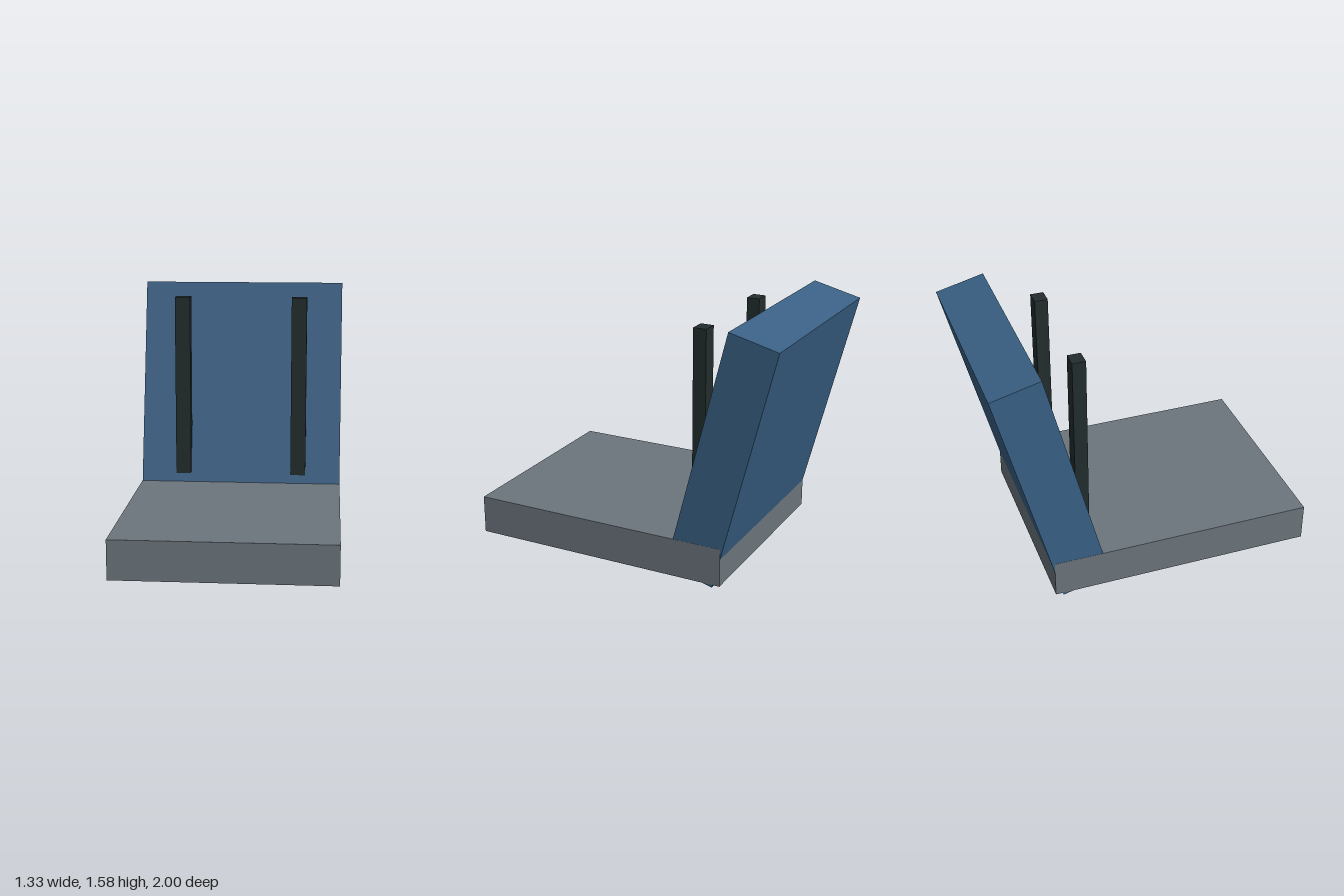
import * as THREE from 'three';

const material = (name, color) => {
  const m = new THREE.MeshStandardMaterial({ color });
  m.name = name;
  return m;
};

function box(name, size, position, mat) {
  const mesh = new THREE.Mesh(new THREE.BoxGeometry(...size), mat);
  mesh.name = name;
  mesh.position.set(...position);
  return mesh;
}

export function createModel() {
  const grey = material('seat grey', 0x6c757d);
  const blue = material('backrest blue', 0x3a6186);
  const black = material('strap black', 0x232d2d);

  const chair = new THREE.Group();
  chair.name = 'seat';

  // Flat cushion
  chair.add(box('cushion', [1.332, 0.242, 1.666], [0, 0.139, 0.167], grey));

  // Reclined backrest, a hair narrower so its sides stay inside the cushion
  const backrest = box('backrest', [1.33, 1.548, 0.3145], [0, 0.789, -0.656], blue);
  backrest.rotation.x = -0.25;
  chair.add(backrest);

  // Upright shoulder straps
  for (const [name, side] of [['leftStrap', 1], ['rightStrap', -1]]) {
    chair.add(box(name, [0.1, 1.19, 0.084], [side * 0.385, 0.909, -0.413], black));
  }

  return chair;
}
